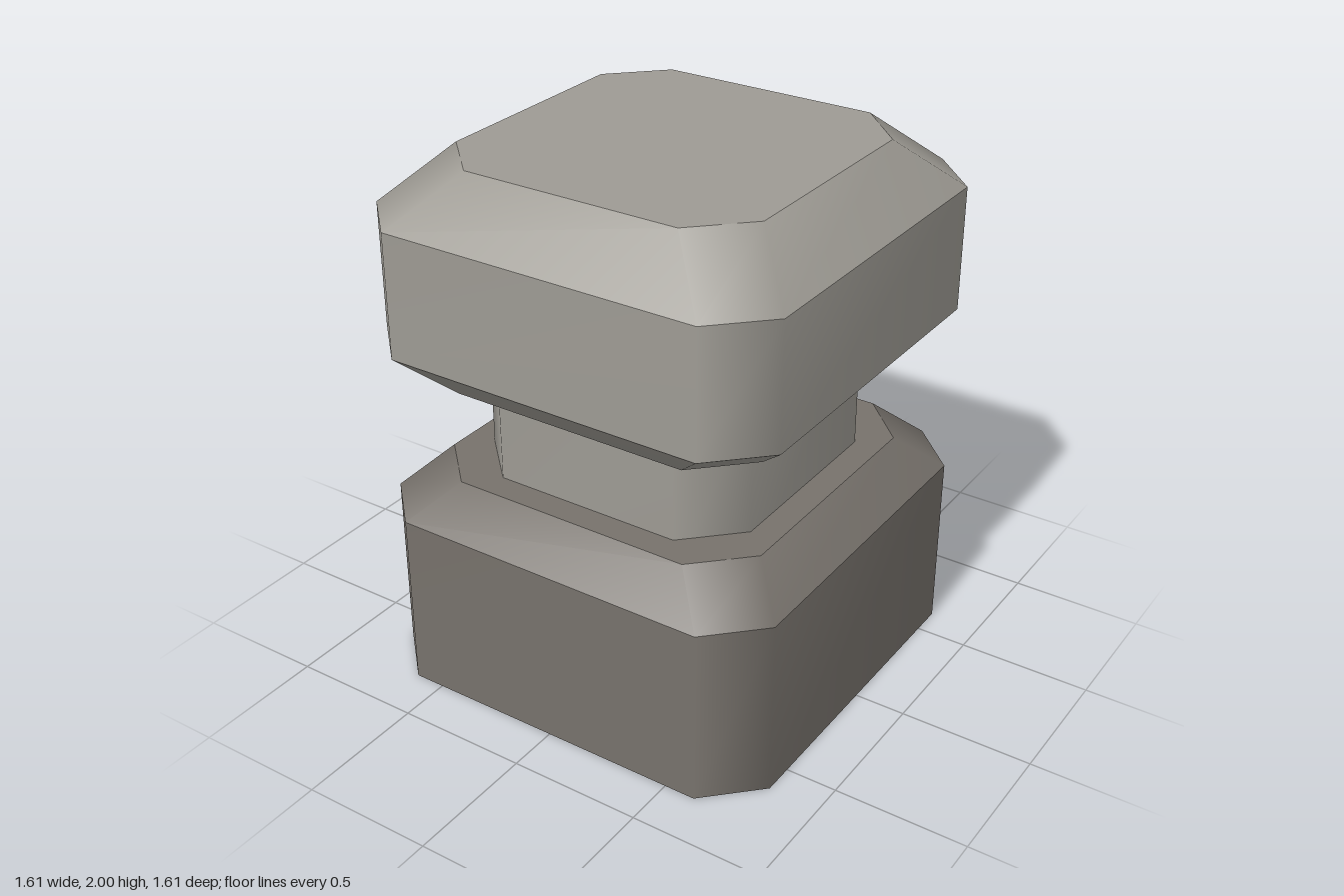
import * as THREE from 'three';
import { mergeGeometries } from 'three/addons/utils/BufferGeometryUtils.js';

const CUT = 0.19; // size of the cut corners

// Square outline with cut corners, counter-clockwise seen from above
function ring(half, y) {
  const f = half - CUT;
  return [[half, f], [half, -f], [f, -half], [-f, -half], [-half, -f], [-half, f], [-f, half], [f, half]]
    .map(([x, z]) => [x, y, z]);
}

// Wall between two rings, smooth around the corners
function band([h0, y0], [h1, y1]) {
  const points = [...ring(h0, y0), ...ring(h1, y1)];
  const index = [];
  for (let i = 0; i < 8; i++) {
    const j = (i + 1) % 8;
    index.push(i, j, 8 + j, i, 8 + j, 8 + i);
  }
  return build(points, index);
}

// Flat octagonal lid facing up or down
function lid([half, y], up) {
  const index = [];
  for (let i = 1; i < 7; i++) index.push(0, up ? i : i + 1, up ? i + 1 : i);
  return build(ring(half, y), index);
}

function build(points, index) {
  const geometry = new THREE.BufferGeometry();
  geometry.setAttribute('position', new THREE.Float32BufferAttribute(points.flat(), 3));
  geometry.setIndex(index);
  geometry.computeVertexNormals();
  return geometry;
}

// Stack of bands with hard edges between them, and optional lids
function stack(name, profile, material, bottom, top) {
  const parts = profile.slice(1).map((p, i) => band(profile[i], p));
  if (bottom) parts.push(lid(profile[0], false));
  if (top) parts.push(lid(profile[profile.length - 1], true));
  const mesh = new THREE.Mesh(mergeGeometries(parts), material);
  mesh.name = name;
  return mesh;
}

export function createModel() {
  const light = new THREE.MeshStandardMaterial({ color: 0x9e9b94, side: THREE.DoubleSide });
  light.name = 'light grey stone';
  const dark = new THREE.MeshStandardMaterial({ color: 0x77726c, side: THREE.DoubleSide });
  dark.name = 'dark grey stone';

  const model = new THREE.Group();
  model.name = 'bollard';
  model.add(
    // hollow base, open underneath
    stack('base', [[0.807, 0], [0.807, 0.68], [0.66, 0.825]], dark, false, true),
    // open tube running into both blocks
    stack('neck', [[0.555, 0.65], [0.555, 1.35]], light, false, false),
    // closed block with chamfered top and bottom
    stack('head', [[0.65, 1.18], [0.807, 1.335], [0.807, 1.805], [0.608, 2]], light, true, true),
  );
  return model;
}
